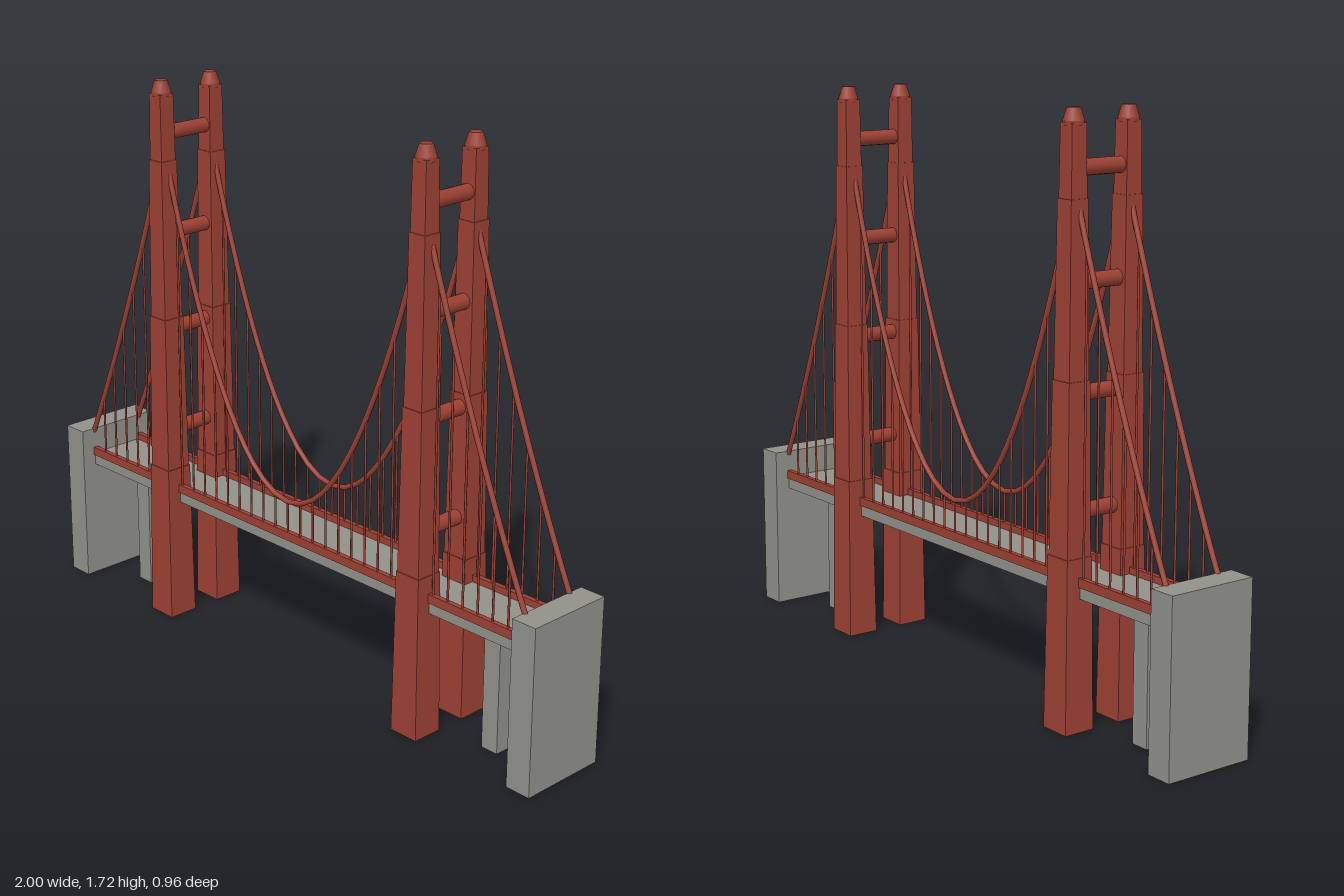
import * as THREE from 'three';

const red = new THREE.MeshStandardMaterial({ color: 0x9c4033 });
red.name = 'red paint';
const grey = new THREE.MeshStandardMaterial({ color: 0x91918a });
grey.name = 'concrete grey';

const TOWER = 0.54;   // tower distance from the middle
const SIDE = 0.095;   // leg offset across the deck
const EDGE = 0.091;   // cable and rail offset across the deck
const END = 0.935;    // half length of the deck
const DECK_TOP = 0.425;

function add(parent, name, geometry, material, x = 0, y = 0, z = 0) {
  const mesh = new THREE.Mesh(geometry, material);
  mesh.name = name;
  mesh.position.set(x, y, z);
  parent.add(mesh);
  return mesh;
}

// Square block narrowing from w0 at its foot to w1 at its head
function taperedBlock(w0, w1, h) {
  const g = new THREE.BoxGeometry(w0, h, w0);
  const p = g.attributes.position;
  for (let i = 0; i < p.count; i++) {
    if (p.getY(i) > 0) {
      p.setX(i, p.getX(i) * w1 / w0);
      p.setZ(i, p.getZ(i) * w1 / w0);
    }
  }
  g.computeVertexNormals();
  return g;
}

// Cable heights: a parabola between the towers, a slight sag outside them
const mainHeight = x => 0.54 + 0.98 * (x / TOWER) ** 2;
function sideHeight(x) {
  const t = (Math.abs(x) - TOWER) / (0.93 - TOWER);
  return 1.52 - 1.01 * t - 0.16 * t * (1 - t);
}

function cable(x0, x1, height) {
  const points = [];
  for (let i = 0; i <= 16; i++) {
    const x = x0 + (x1 - x0) * i / 16;
    points.push(new THREE.Vector3(x, height(x), 0));
  }
  return new THREE.TubeGeometry(new THREE.CatmullRomCurve3(points), 40, 0.008, 8);
}

function createTower() {
  const tower = new THREE.Group();
  tower.name = 'tower';
  // Foot height, head height, foot width, head width
  const sections = [
    [0, 0.5, 0.098, 0.087],
    [0.5, 0.99, 0.082, 0.073],
    [0.99, 1.48, 0.068, 0.059],
    [1.48, 1.68, 0.054, 0.05],
  ];
  for (const s of [-1, 1]) {
    const leg = new THREE.Group();
    leg.name = 'towerLeg';
    leg.position.z = s * SIDE;
    for (const [y0, y1, w0, w1] of sections) {
      add(leg, 'legSection', taperedBlock(w0, w1, y1 - y0), red, 0, (y0 + y1) / 2, 0);
    }
    // Cap with a short straight rim and a bevelled top
    const cap = new THREE.CylinderGeometry(0.019, 0.03, 0.035, 8);
    add(leg, 'legCap', cap, red, 0, 1.7025, 0);
    add(leg, 'capRim', new THREE.CylinderGeometry(0.03, 0.03, 0.012, 8), red, 0, 1.679, 0);
    tower.add(leg);
  }
  // Round cross beams between the legs
  for (const y of [0.62, 0.95, 1.255, 1.56]) {
    const beam = add(tower, 'crossBeam', new THREE.CylinderGeometry(0.023, 0.023, 2 * SIDE, 12), red, 0, y, 0);
    beam.rotation.x = Math.PI / 2;
  }
  return tower;
}

function createCableSide() {
  const side = new THREE.Group();
  side.name = 'cableSide';
  add(side, 'mainCable', cable(-TOWER, TOWER, mainHeight), red);
  const hanger = (x, top) => {
    const h = top - DECK_TOP;
    add(side, 'hanger', new THREE.CylinderGeometry(0.0035, 0.0035, h, 6), red, x, DECK_TOP + h / 2, 0);
  };
  const n = 20;
  for (let i = 1; i < n; i++) {
    const x = -TOWER + 2 * TOWER * i / n;
    hanger(x, mainHeight(x));
  }
  for (const s of [-1, 1]) {
    add(side, 'sideCable', cable(s * TOWER, s * 0.935, sideHeight), red);
    for (let i = 1; i < 7; i++) {
      const x = s * (TOWER + 0.39 * i / 7);
      hanger(x, sideHeight(x));
    }
  }
  // Rail along the deck edge
  add(side, 'rail', new THREE.BoxGeometry(2 * END, 0.027, 0.016), red, 0, 0.432, 0);
  return side;
}

export function createModel() {
  const model = new THREE.Group();
  model.name = 'suspensionBridge';
  const bridge = new THREE.Group();
  bridge.name = 'bridge';
  bridge.rotation.y = -Math.PI / 9;   // the span runs diagonally
  model.add(bridge);

  add(bridge, 'deck', new THREE.BoxGeometry(2 * END, 0.04, 0.188), grey, 0, 0.405, 0);

  for (const s of [-1, 1]) {
    add(bridge, 'anchorBlock', new THREE.BoxGeometry(0.082, 0.51, 0.282), grey, s * 0.971, 0.255, 0);
    add(bridge, 'pier', new THREE.BoxGeometry(0.058, 0.39, 0.058), grey, s * 0.766, 0.195, 0);
    const tower = createTower();
    tower.position.x = s * TOWER;
    bridge.add(tower);
    const side = createCableSide();
    side.position.z = s * EDGE;
    bridge.add(side);
  }
  return model;
}
